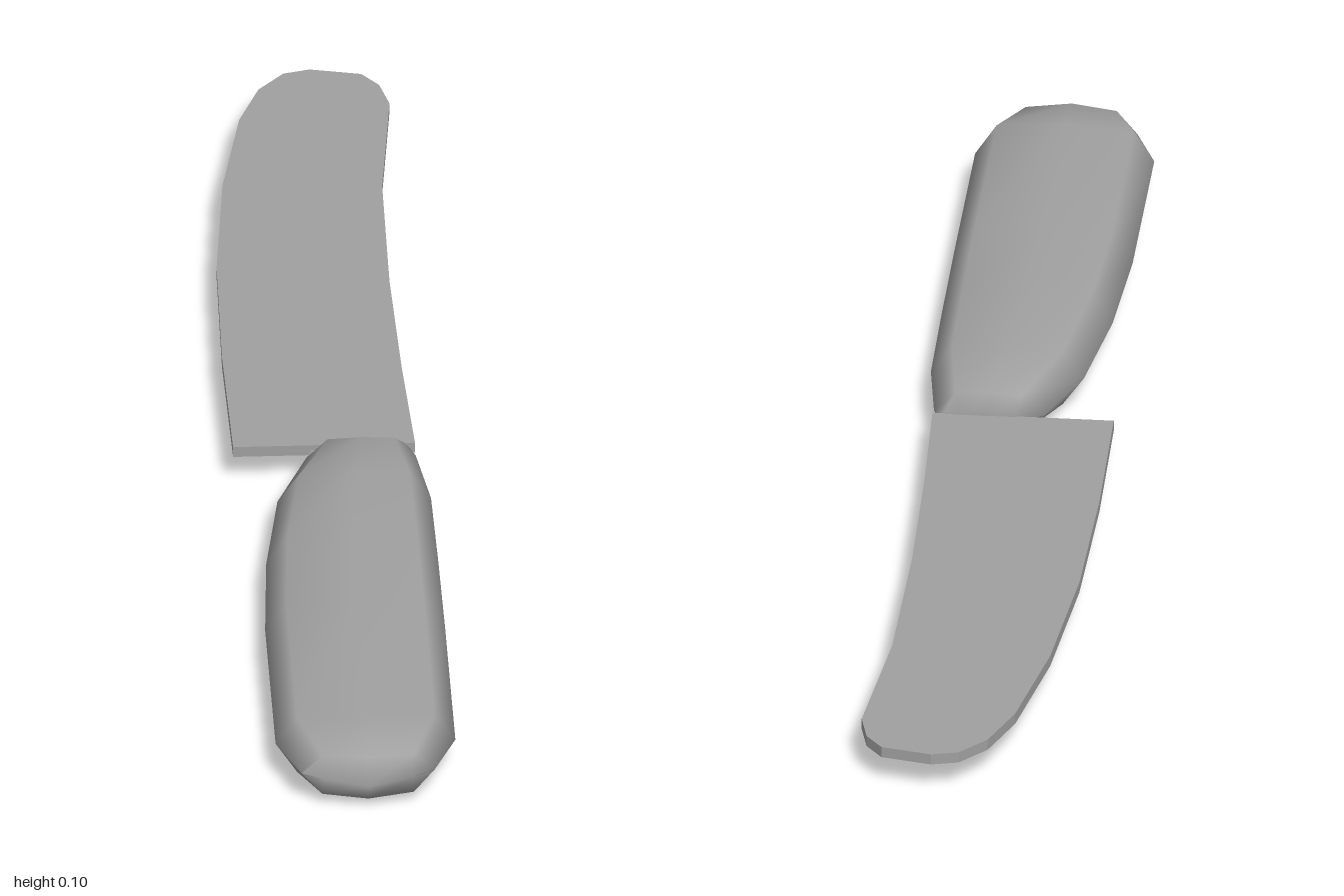
import * as THREE from 'three';
import { mergeVertices } from 'three/addons/utils/BufferGeometryUtils.js';

const MID = 0.0475; // height of the knife's middle plane

// Flat blade: straight heel, curved cutting edge and rounded tip, as [x, z]
function bladeGeometry() {
  const outline = [
    [-0.139, 0.053], [-0.143, -0.2], [-0.139, -0.45], [-0.12, -0.68], [-0.088, -0.863],
    [-0.057, -0.947], [-0.02, -0.99], [0.018, -1], [0.09, -0.984], [0.114, -0.952],
    [0.126, -0.9], [0.105, -0.67], [0.103, -0.4], [0.109, -0.16], [0.118, 0.053],
  ];
  const shape = new THREE.Shape(outline.map(([x, z]) => new THREE.Vector2(x, -z)).reverse());
  const geometry = new THREE.ExtrudeGeometry(shape, { depth: 0.016, bevelEnabled: false });
  geometry.rotateX(-Math.PI / 2);
  geometry.translate(0, MID - 0.008, 0);
  return geometry;
}

// Handle: eight-sided chamfered sections joined along z
function handleGeometry() {
  // z, left edge x, right edge x, half height, forward bow of the centre
  const sections = [
    [0.042, -0.025, 0.107, 0, 0],
    [0.075, -0.037, 0.118, 0.03, 0],
    [0.195, -0.083, 0.134, 0.042, 0],
    [0.37, -0.107, 0.136, 0.044, 0],
    [0.555, -0.117, 0.137, 0.044, 0],
    [0.873, -0.117, 0.137, 0.044, 0.01],
    [0.955, -0.085, 0.104, 0.031, 0.02],
    [0.958, -0.083, 0.102, 0, 0.042],
  ];
  const positions = [];
  const index = [];
  sections.forEach(([z, left, right, h, bow], i) => {
    const centre = (left + right) / 2;
    const peak = h * 1.08;
    const ring = [
      [left, 0, 0], [left + 0.03, h, bow * 0.4], [centre, peak, bow], [right - 0.03, h, bow * 0.4],
      [right, 0, 0], [right - 0.03, -h, bow * 0.4], [centre, -peak, bow], [left + 0.03, -h, bow * 0.4],
    ];
    ring.forEach(([x, y, dz]) => positions.push(x, MID + y, z + dz));
    if (i === 0) return;
    for (let j = 0; j < 8; j++) {
      const a = (i - 1) * 8 + j;
      const b = (i - 1) * 8 + (j + 1) % 8;
      index.push(a, a + 8, b, b, a + 8, b + 8);
    }
  });
  const geometry = new THREE.BufferGeometry();
  geometry.setAttribute('position', new THREE.Float32BufferAttribute(positions, 3));
  geometry.setIndex(index);
  const smooth = mergeVertices(geometry, 1e-4);
  smooth.computeVertexNormals();
  return smooth;
}

export function createModel() {
  const grey = new THREE.MeshStandardMaterial({ color: 0xa0a0a0 });
  grey.name = 'grey';

  const knife = new THREE.Group();
  knife.name = 'knife';

  const blade = new THREE.Mesh(bladeGeometry(), grey);
  blade.name = 'blade';
  const handle = new THREE.Mesh(handleGeometry(), grey);
  handle.name = 'handle';

  knife.add(blade, handle);
  return knife;
}
